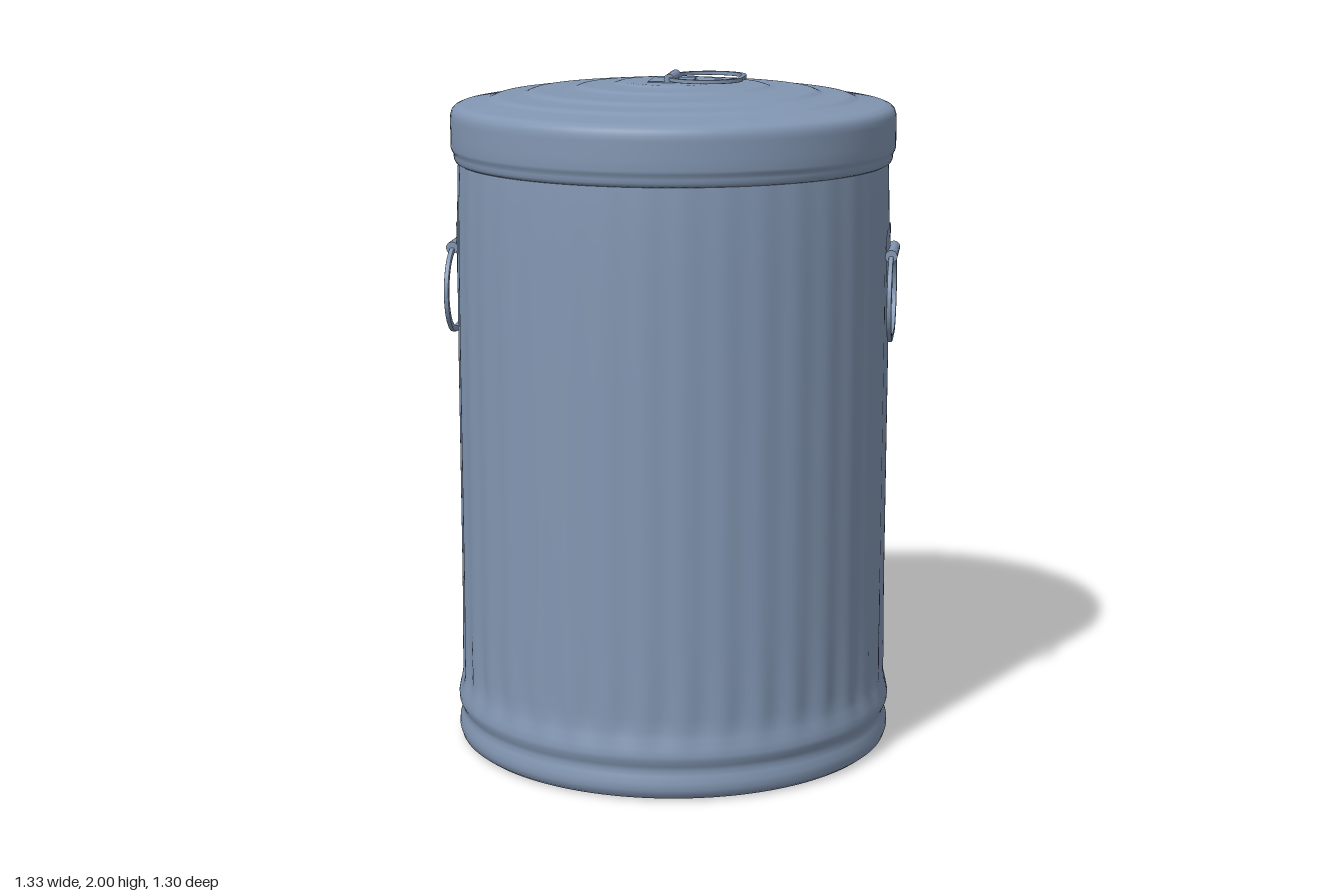
import * as THREE from 'three';
import { mergeVertices, toCreasedNormals } from 'three/addons/utils/BufferGeometryUtils.js';

const material = new THREE.MeshStandardMaterial({ color: 0x8296b2, side: THREE.DoubleSide });
const vec2 = (pairs) => pairs.map(([x, y]) => new THREE.Vector2(x, y));

function addMesh(parent, name, geometry) {
  const mesh = new THREE.Mesh(geometry, material);
  mesh.name = name;
  parent.add(mesh);
  return mesh;
}

// Joins the lathe seam so the normals run smoothly all the way round
function weldSmooth(geometry) {
  geometry.deleteAttribute('uv');
  geometry.deleteAttribute('normal');
  const welded = mergeVertices(geometry, 1e-5);
  welded.computeVertexNormals();
  return welded;
}

// Softly fluted wall: the ripples are deepest just above the foot bands
function bodyGeometry() {
  const foot = [
    [0.607, 0.003], [0.632, 0.006], [0.645, 0.016], [0.651, 0.035], [0.65, 0.055],
    [0.644, 0.075], [0.64, 0.09], [0.644, 0.104], [0.651, 0.12], [0.652, 0.135],
    [0.648, 0.155], [0.641, 0.18], [0.636, 0.205],
  ];
  const profile = vec2([[0, 0.003], [0.55, 0.003], ...foot,
    [0.635, 0.24], [0.635, 0.3], [0.635, 0.4], [0.635, 0.5], [0.635, 0.8], [0.635, 1.2],
    [0.634, 1.5], [0.631, 1.65], [0.628, 1.74], [0.622, 1.85]]);
  const geometry = new THREE.LatheGeometry(profile, 288);
  const pos = geometry.attributes.position;
  const { smoothstep } = THREE.MathUtils;
  for (let i = 0; i < pos.count; i++) {
    const x = pos.getX(i), y = pos.getY(i), z = pos.getZ(i);
    const radius = Math.hypot(x, z);
    if (radius < 0.1) continue;
    const depth = smoothstep(y, 0.13, 0.25)
      * (0.0045 - 0.0025 * smoothstep(y, 0.22, 0.5) - 0.0008 * smoothstep(y, 1.2, 1.8));
    const scale = 1 + depth * Math.cos(36 * Math.atan2(x, z)) / radius;
    pos.setXYZ(i, x * scale, y, z * scale);
  }
  return weldSmooth(geometry);
}

// Shallow stepped dome with a deep rounded skirt and a small hem
function lidGeometry() {
  const dome = new THREE.SplineCurve(vec2([
    [0.62, 1.912], [0.585, 1.918], [0.55, 1.924], [0.538, 1.926], [0.52, 1.933],
    [0.505, 1.936], [0.47, 1.938], [0.436, 1.941], [0.416, 1.948], [0.4, 1.951],
    [0.34, 1.953], [0.29, 1.957], [0.27, 1.963], [0.255, 1.965], [0.215, 1.966],
    [0.178, 1.968], [0.158, 1.973], [0.143, 1.975], [0.07, 1.975], [0, 1.975],
  ])).getPoints(90);
  dome[dome.length - 1].x = 0;
  const skirt = vec2([
    [0.615, 1.85], [0.618, 1.765], [0.622, 1.748], [0.629, 1.744], [0.636, 1.748],
    [0.64, 1.756], [0.641, 1.766], [0.642, 1.774], [0.646, 1.78], [0.649, 1.79],
    [0.649, 1.82], [0.649, 1.87], [0.648, 1.884], [0.644, 1.897], [0.635, 1.906],
  ]);
  return weldSmooth(new THREE.LatheGeometry([...skirt, ...dome], 128));
}

// Stadium outline, its long axis along x
function traceStadium(path, half, r) {
  path.absarc(half, 0, r, -Math.PI / 2, Math.PI / 2, false);
  path.absarc(-half, 0, r, Math.PI / 2, Math.PI * 1.5, false);
  path.closePath();
  return path;
}

// Flat stadium-shaped ring lying in the yz plane
function ringGeometry() {
  const shape = traceStadium(new THREE.Shape(), 0.058, 0.13);
  shape.holes.push(traceStadium(new THREE.Path(), 0.058, 0.112));
  const ring = new THREE.ExtrudeGeometry(shape, {
    depth: 0.008, curveSegments: 24, bevelThickness: 0.003, bevelSize: 0.003,
    bevelOffset: -0.003, bevelSegments: 2,
  });
  ring.translate(0, -0.125, -0.004);
  ring.rotateY(Math.PI / 2);
  return toCreasedNormals(ring, 0.7);
}

// Hinge at the origin along z, ring hanging towards -y, outside facing +x
function createHandle(name, strapGeometry) {
  const handle = new THREE.Group();
  handle.name = name;
  addMesh(handle, 'ring', ringGeometry());
  const sleeve = toCreasedNormals(new THREE.CylinderGeometry(0.018, 0.018, 0.188, 20), 0.6);
  addMesh(handle, 'sleeve', sleeve).rotation.x = Math.PI / 2;
  addMesh(handle, 'strap', strapGeometry);
  return handle;
}

export function createModel() {
  const bin = new THREE.Group();
  bin.name = 'dustbin';
  addMesh(bin, 'body', bodyGeometry());
  addMesh(bin, 'lid', lidGeometry());

  // Side handles, each with a strap curved to the wall
  const hingeX = 0.645;
  for (const side of [1, -1]) {
    const strap = new THREE.CylinderGeometry(0.638, 0.638, 0.15, 12, 1, true, Math.PI / 2 - 0.147, 0.294);
    strap.translate(-hingeX, 0, 0);
    const handle = createHandle(side > 0 ? 'leftHandle' : 'rightHandle', strap);
    handle.position.set(side * hingeX, 1.485, 0);
    handle.rotation.y = side > 0 ? 0 : Math.PI;
    bin.add(handle);
  }

  // Lid handle, lying flat towards +x
  const flatStrap = new THREE.BoxGeometry(0.008, 0.15, 0.188);
  flatStrap.translate(-0.0125, 0, 0);
  const lidHandle = createHandle('lidHandle', flatStrap);
  lidHandle.scale.setScalar(0.83);
  lidHandle.position.set(-0.003, 1.985, 0);
  lidHandle.rotation.z = Math.PI / 2;
  bin.add(lidHandle);
  return bin;
}
